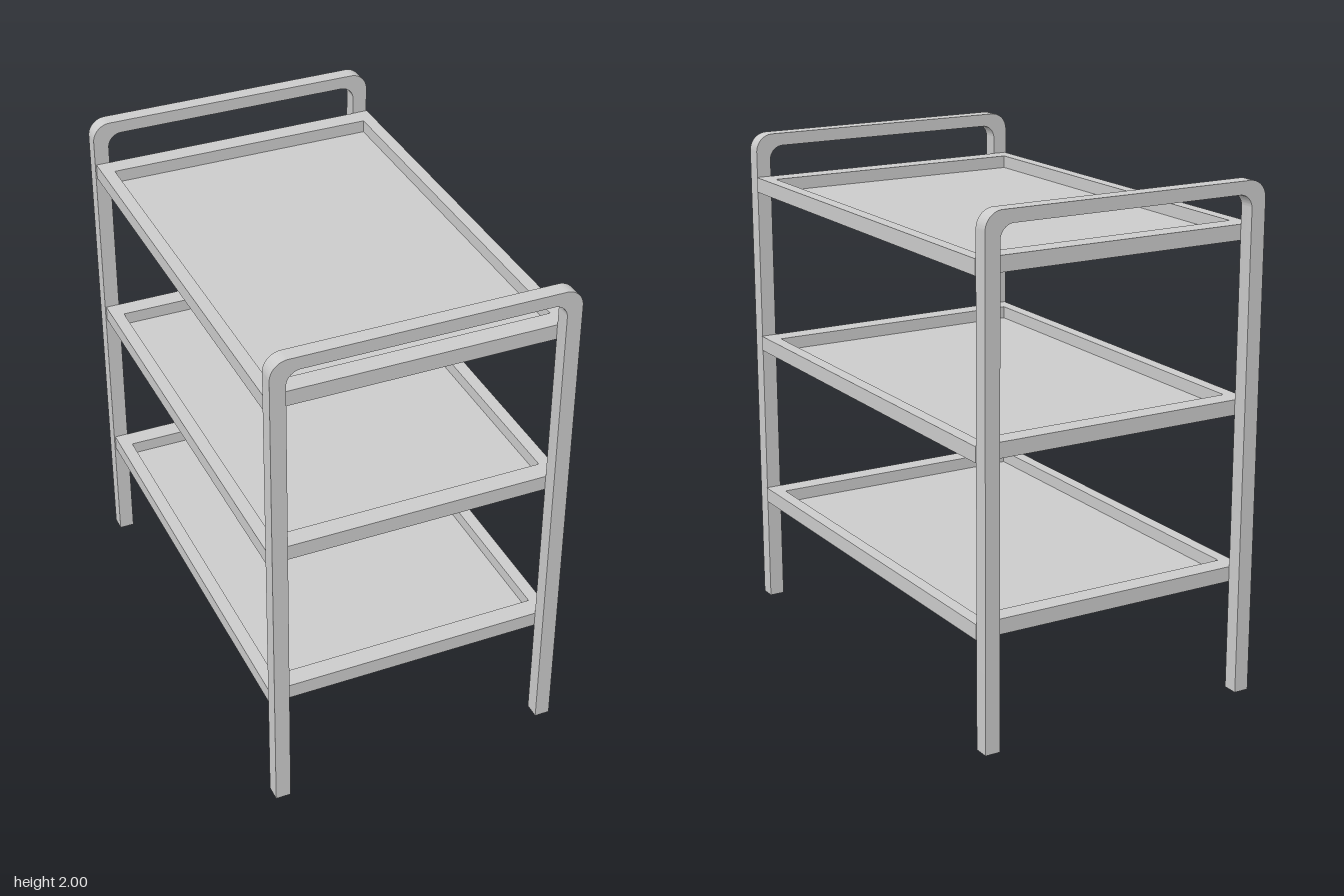
import * as THREE from 'three';
import { toCreasedNormals } from 'three/addons/utils/BufferGeometryUtils.js';

const material = new THREE.MeshStandardMaterial({ color: 0xcccccc });

// Trace an arch: up one side, over a rounded top, down the other side
function traceArch(shape, x0, x1, top, r, y0, y1) {
  shape.moveTo(x1, y1);
  shape.lineTo(x1, top - r);
  shape.absarc(x1 - r, top - r, r, 0, Math.PI / 2, false);
  shape.lineTo(x0 + r, top);
  shape.absarc(x0 + r, top - r, r, Math.PI / 2, Math.PI, false);
  shape.lineTo(x0, y0);
}

// Extrude a shape along its own z, centred on the origin
function extrude(shape, depth) {
  const geometry = new THREE.ExtrudeGeometry(shape, { depth, bevelEnabled: false, curveSegments: 10 });
  geometry.translate(0, 0, -depth / 2);
  return toCreasedNormals(geometry, Math.PI / 6);
}

function rectangle(path, w, d) {
  path.moveTo(-w, -d).lineTo(w, -d).lineTo(w, d).lineTo(-w, d).closePath();
  return path;
}

// Two legs joined by a rounded handle bar
function frameGeometry() {
  const shape = new THREE.Shape();
  traceArch(shape, -0.593, 0.585, 2, 0.07, 0, 0.01);
  shape.lineTo(-0.533, 0);
  shape.lineTo(-0.533, 1.895);
  shape.absarc(-0.478, 1.895, 0.055, Math.PI, Math.PI / 2, true);
  shape.lineTo(0.47, 1.95);
  shape.absarc(0.47, 1.895, 0.055, Math.PI / 2, 0, true);
  shape.lineTo(0.525, 0.01);
  shape.closePath();
  return extrude(shape, 0.062);
}

// Shallow tray: raised rim around a thin floor
function makeTray(rimGeometry, floorGeometry) {
  const tray = new THREE.Group();
  const rim = new THREE.Mesh(rimGeometry, material);
  rim.name = 'trayRim';
  rim.position.y = 0.03;
  const floor = new THREE.Mesh(floorGeometry, material);
  floor.name = 'trayFloor';
  floor.position.y = 0.005;
  tray.add(rim, floor);
  return tray;
}

export function createModel() {
  const group = new THREE.Group();
  group.name = 'shelfTrolley';

  // End frames
  const frame = frameGeometry();
  for (const [name, z] of [['frontFrame', 0.907], ['backFrame', -0.907]]) {
    const mesh = new THREE.Mesh(frame, material);
    mesh.name = name;
    mesh.position.z = z;
    group.add(mesh);
  }

  // Three trays between the frames
  const rimShape = rectangle(new THREE.Shape(), 0.588, 0.876);
  rimShape.holes.push(rectangle(new THREE.Path(), 0.538, 0.798));
  const rimGeometry = extrude(rimShape, 0.06).rotateX(-Math.PI / 2);
  const floorGeometry = new THREE.BoxGeometry(1.076, 0.01, 1.596);
  [['lowerTray', 0.438], ['middleTray', 1.102], ['upperTray', 1.768]].forEach(([name, y]) => {
    const tray = makeTray(rimGeometry, floorGeometry);
    tray.name = name;
    tray.position.y = y;
    group.add(tray);
  });

  return group;
}
